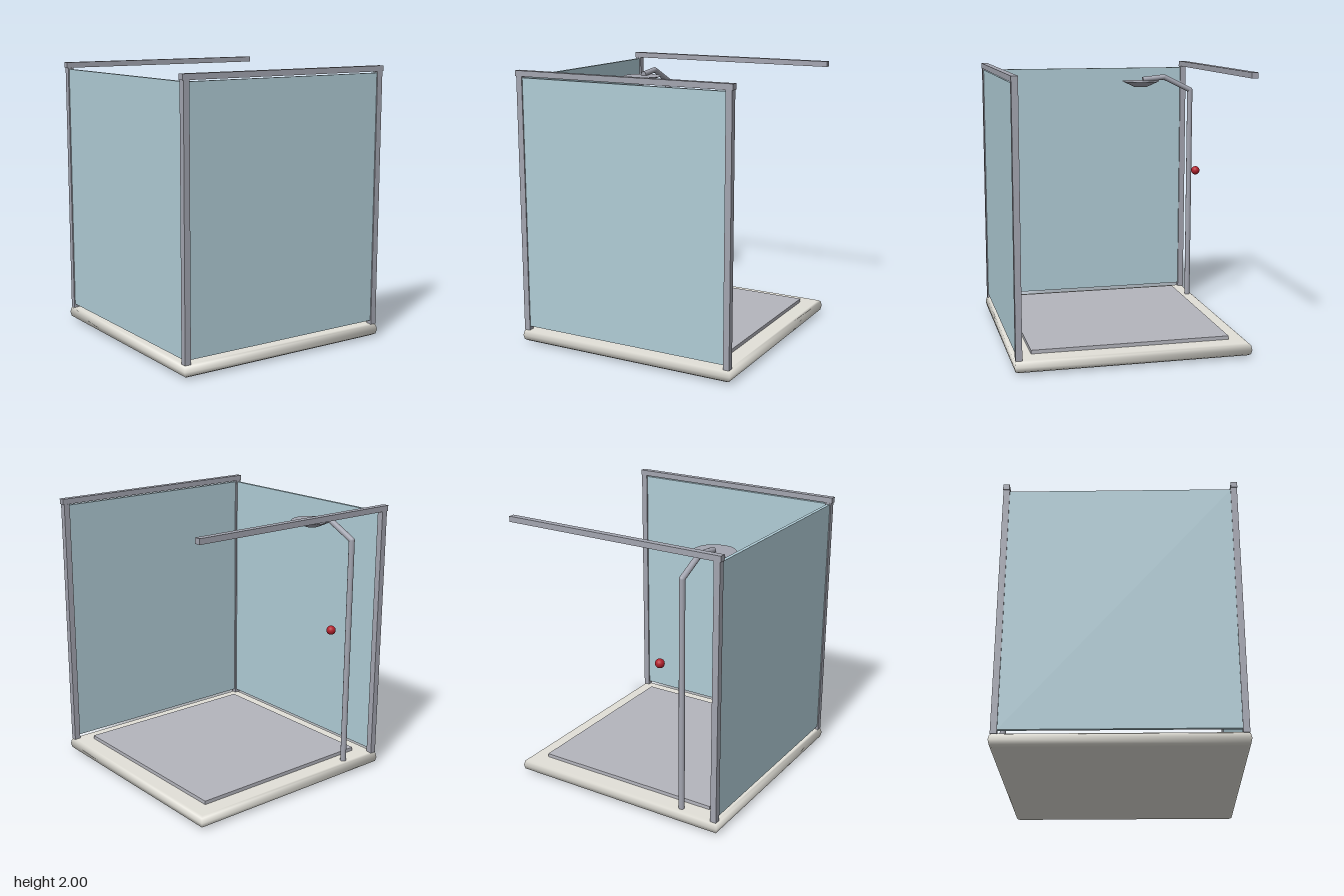
import * as THREE from 'three';

const material = (color) => new THREE.MeshStandardMaterial({ color });

export function createModel() {
  const model = new THREE.Group();
  const metal = material(0xa3a5b0);
  const glass = material(0xb0ccd6);
  const ceramic = material(0xe2e0d8);
  const matGrey = material(0xb4b5bd);
  const red = material(0xb0202c);

  const add = (name, geometry, mat, x = 0, y = 0, z = 0) => {
    const mesh = new THREE.Mesh(geometry, mat);
    mesh.name = name;
    mesh.position.set(x, y, z);
    model.add(mesh);
    return mesh;
  };
  // Box given by its lower and upper y
  const box = (name, mat, w, d, y0, y1, x, z) =>
    add(name, new THREE.BoxGeometry(w, y1 - y0, d), mat, x, (y0 + y1) / 2, z);

  // Round rod between two points
  const rod = (name, a, b, radius) => {
    const dir = b.clone().sub(a);
    const mesh = add(name, new THREE.CylinderGeometry(radius, radius, dir.length(), 16), metal);
    mesh.position.copy(a).add(b).multiplyScalar(0.5);
    mesh.quaternion.setFromUnitVectors(new THREE.Vector3(0, 1, 0), dir.normalize());
  };

  // Square tray with softly rounded rim: four-sided lathe of half-width profile
  const trayProfile = [[0, 0], [0.815, 0.012], [0.835, 0.025], [0.842, 0.057], [0.835, 0.09], [0.82, 0.103], [0, 0.108]]
    .map(([half, y]) => new THREE.Vector2(half * Math.SQRT2, y));
  add('tray', new THREE.LatheGeometry(trayProfile, 4, Math.PI / 4), ceramic);
  box('floorMat', matGrey, 1.42, 1.42, 0.1, 0.13, 0, 0);

  // Posts: two at the front, one at the back
  for (const [name, x, z] of [['frontLeftPost', 0.81, 0.81], ['frontRightPost', -0.81, 0.81], ['backRightPost', -0.81, -0.81]]) {
    box(name, metal, 0.045, 0.045, 0.1, 1.96, x, z);
  }

  // Top rails, front and back
  for (const side of [1, -1]) {
    box(side > 0 ? 'frontRail' : 'backRail', metal, 1.68, 0.046, 1.96, 2, 0, side * 0.812);
  }

  // Glass panels
  box('frontGlass', glass, 1.58, 0.025, 0.13, 1.95, 0, 0.812);
  box('sideGlass', glass, 0.025, 1.58, 0.13, 1.95, -0.812, 0);

  // Shower pipe with mitred bends
  const px = -0.533, radius = 0.021;
  const path = [[0.1, -0.79], [1.785, -0.79], [1.89, -0.575], [1.872, -0.4]]
    .map(([y, z]) => new THREE.Vector3(px, y, z));
  const names = ['riserPipe', 'slopingArm', 'headArm'];
  names.forEach((name, i) => {
    rod(name, path[i], path[i + 1], radius);
    if (i > 0) add('pipeJoint', new THREE.SphereGeometry(radius, 16, 10), metal, px, path[i].y, path[i].z);
  });

  // Shower head, wide on top and narrow below
  add('showerHead', new THREE.CylinderGeometry(0.148, 0.05, 0.045, 20), metal, px, 1.838, -0.383);

  // Control knob
  add('controlKnob', new THREE.SphereGeometry(0.033, 20, 14), red, -0.36, 1.16, -0.79);

  return model;
}
